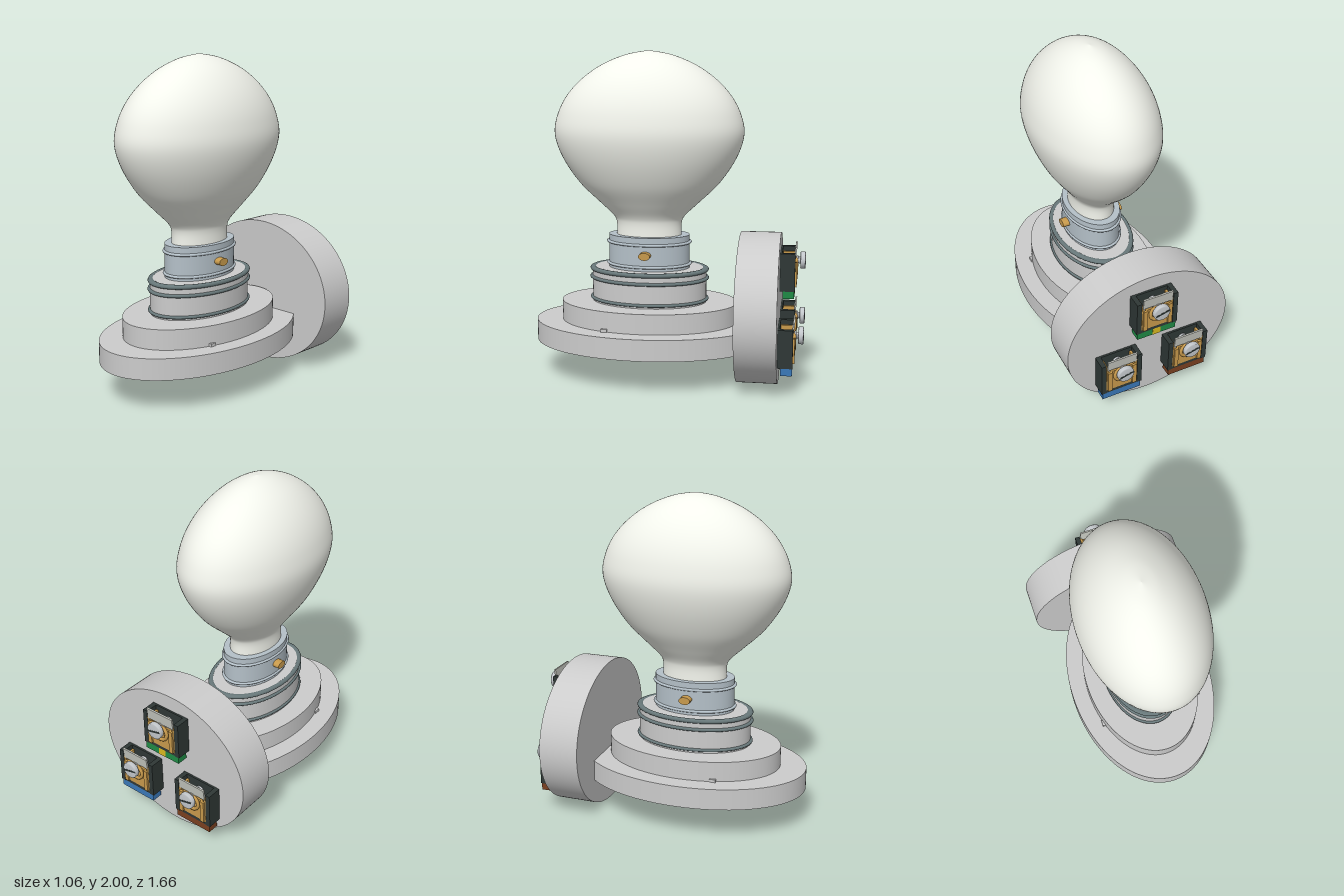
import * as THREE from 'three';

const mat = (color = 0xcccccc) => new THREE.MeshStandardMaterial({ color });
const GREY = mat(), GLASS = mat(0xf2f4ec), METAL = mat(0xb4c0c8), RING = mat(0x68787a);
const STEEL = mat(0xc4c8cc), BRASS = mat(0xc89a4c), DARK = mat(0x2f3836), LABEL = mat(0xc6c8c0);

function add(parent, name, geometry, material, x = 0, y = 0, z = 0) {
  const mesh = new THREE.Mesh(geometry, material);
  mesh.name = name;
  mesh.position.set(x, y, z);
  parent.add(mesh);
  return mesh;
}
const box = (w, h, d) => new THREE.BoxGeometry(w, h, d);

// upright disc between two heights
function disc(parent, name, r, y0, y1, material = GREY) {
  return add(parent, name, new THREE.CylinderGeometry(r, r, y1 - y0, 96), material, 0, (y0 + y1) / 2, 0);
}
// horizontal ring around the stem
function ring(parent, name, r, tube, y, material) {
  add(parent, name, new THREE.TorusGeometry(r, tube, 10, 96), material, 0, y, 0).rotation.x = Math.PI / 2;
}

// screw terminal, back on z = 0 and facing +z
function terminal(name, color, striped) {
  const g = new THREE.Group();
  g.name = name;
  add(g, 'housingBack', box(0.264, 0.23, 0.012), DARK, 0, 0, 0.006);
  add(g, 'housingFloor', box(0.264, 0.02, 0.088), DARK, 0, -0.105, 0.044);
  for (const s of [-1, 1]) {
    add(g, 'housingWall', box(0.03, 0.23, 0.09), DARK, s * 0.117, 0, 0.045);
    add(g, 'clampCheek', box(0.014, 0.18, 0.085), BRASS, s * 0.093, -0.005, 0.046);
    add(g, 'clampLip', box(0.026, 0.15, 0.014), BRASS, s * 0.08, -0.02, 0.093);
  }
  add(g, 'clampBlock', box(0.172, 0.1, 0.07), STEEL, 0, -0.045, 0.045);
  add(g, 'clampPlate', box(0.15, 0.15, 0.012), BRASS, 0, -0.02, 0.082);
  add(g, 'washer', new THREE.TorusGeometry(0.048, 0.011, 8, 32), BRASS, 0, 0.015, 0.094);
  // tilted marker plate
  add(g, 'markerPlate', box(0.19, 0.075, 0.01), LABEL, 0, 0.11, 0.09).rotation.x = 0.12;
  // colour-coded strip
  add(g, 'colourStrip', box(0.25, 0.045, 0.068), mat(color), 0, -0.138, 0.053);
  if (striped) add(g, 'stripe', box(0.05, 0.047, 0.07), mat(0xd8b820), 0, -0.138, 0.053);
  // threaded screw with slotted head
  const screw = new THREE.Group();
  screw.name = 'screw';
  screw.position.set(0, 0.052, 0);
  screw.rotation.x = Math.PI / 2;
  add(screw, 'shank', new THREE.CylinderGeometry(0.02, 0.02, 0.112, 24), STEEL, 0, 0.066, 0);
  for (let i = 0; i < 7; i++) ring(screw, 'thread', 0.021, 0.006, 0.018 + i * 0.014, STEEL);
  const head = [[0, 0.118], [0.048, 0.118], [0.052, 0.122], [0.052, 0.145], [0.047, 0.15], [0, 0.15]];
  add(screw, 'head', new THREE.LatheGeometry(head.map(p => new THREE.Vector2(...p)), 32), STEEL);
  add(screw, 'slot', box(0.092, 0.002, 0.012), DARK, 0, 0.15, 0).rotation.y = 0.25;
  g.add(screw);
  return g;
}

export function createModel() {
  const model = new THREE.Group();
  model.name = 'wallLamp';

  // everything on the lamp axis is stretched front to back
  const lamp = new THREE.Group();
  lamp.name = 'lamp';
  lamp.position.z = 0.125;
  lamp.scale.z = 1.533;
  model.add(lamp);

  disc(lamp, 'basePlate', 0.46, 0.22, 0.35);
  disc(lamp, 'baseStep', 0.355, 0.35, 0.473);
  for (const s of [-1, 1]) add(lamp, 'baseClip', box(0.03, 0.018, 0.025), GREY, s * 0.322, 0.359, 0.145);

  // socket with sealing rings
  disc(lamp, 'socket', 0.23, 0.47, 0.685);
  ring(lamp, 'socketRingLow', 0.23, 0.01, 0.492, RING);
  ring(lamp, 'socketRingMid', 0.23, 0.011, 0.622, RING);
  ring(lamp, 'socketRingTop', 0.226, 0.014, 0.675, RING);

  // metal bulb cap with bayonet pins
  disc(lamp, 'bulbCap', 0.162, 0.68, 0.89, METAL);
  ring(lamp, 'capRingLow', 0.162, 0.009, 0.71, METAL);
  ring(lamp, 'capRingTop', 0.162, 0.009, 0.845, METAL);
  for (const s of [-1, 1]) {
    add(lamp, 'bayonetPin', new THREE.CylinderGeometry(0.023, 0.023, 0.06, 24), BRASS, s * 0.173, 0.785, 0)
      .rotation.z = Math.PI / 2;
  }

  // glass bulb
  const outline = new THREE.SplineCurve([
    [0.13, 0.88], [0.13, 0.96], [0.145, 1.01], [0.2, 1.09], [0.28, 1.21], [0.345, 1.36], [0.375, 1.5],
    [0.362, 1.62], [0.325, 1.73], [0.265, 1.83], [0.185, 1.915], [0.09, 1.975], [0, 2],
  ].map(p => new THREE.Vector2(...p)));
  const profile = outline.getPoints(72);
  profile[72].x = 0;
  add(lamp, 'bulb', new THREE.LatheGeometry(profile, 96), GLASS);

  // wall mount
  const mount = add(model, 'wallMount', new THREE.CylinderGeometry(0.53, 0.53, 0.245, 128), GREY, 0, 0.455, -0.5575);
  mount.rotation.x = Math.PI / 2;
  mount.scale.z = 0.455 / 0.53;

  // terminals on the back
  for (const [name, color, x, y] of [
    ['earthTerminal', 0x1f8a45, 0, 0.7],
    ['neutralTerminal', 0x3a78b8, 0.222, 0.295],
    ['liveTerminal', 0x7a4020, -0.222, 0.295],
  ]) {
    const t = terminal(name, color, x === 0);
    t.position.set(x, y, -0.68);
    t.rotation.y = Math.PI;
    model.add(t);
  }
  return model;
}
